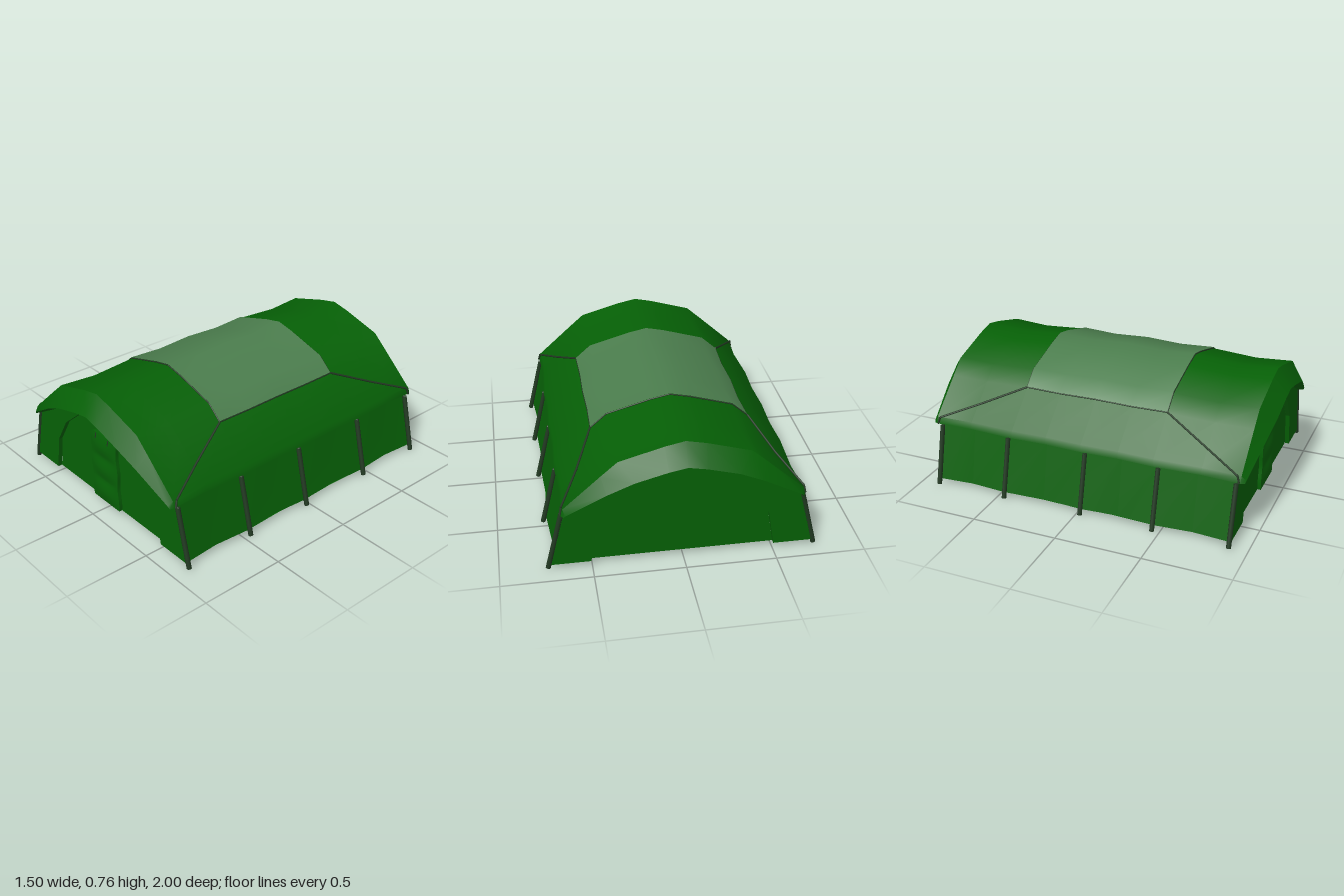
import * as THREE from 'three';
import { toCreasedNormals } from 'three/addons/utils/BufferGeometryUtils.js';

const DS = THREE.DoubleSide;
const canvas = new THREE.MeshStandardMaterial({ color: 0x066006, side: DS });
const skylightMat = new THREE.MeshStandardMaterial({ color: 0x4b7d4d, side: DS });
const poleMat = new THREE.MeshStandardMaterial({ color: 0x213821 });

const WALL_Z = 0.902, BASE_Y = 0.031;

// Skin a list of rows, each a list of [x, y, z] points
function skin(rows) {
  const n = rows[0].length, index = [];
  for (let r = 0; r < rows.length - 1; r++)
    for (let c = 0; c < n - 1; c++) {
      const a = r * n + c;
      index.push(a, a + 1, a + n, a + 1, a + n + 1, a + n);
    }
  const geo = new THREE.BufferGeometry();
  geo.setAttribute('position', new THREE.Float32BufferAttribute(rows.flat(2), 3));
  geo.setIndex(index);
  return toCreasedNormals(geo, 0.7);
}

// Complete a +x half profile (ending on x = 0) over to -x
const mirrorX = (half) => [
  ...half,
  ...half.slice(0, -1).reverse().map(([x, ...rest]) => [-x, ...rest]),
];

export function createModel() {
  const model = new THREE.Group();
  const add = (name, geo, mat = canvas) => {
    const mesh = new THREE.Mesh(geo, mat);
    mesh.name = name;
    model.add(mesh);
    return mesh;
  };

  // Straight round bars joining a list of points
  const bars = (name, points, radius) => {
    for (let i = 0; i < points.length - 1; i++) {
      const p = new THREE.Vector3(...points[i]), q = new THREE.Vector3(...points[i + 1]);
      const dir = q.clone().sub(p);
      const mesh = add(name, new THREE.CylinderGeometry(radius, radius, dir.length(), 8), poleMat);
      mesh.position.copy(p).add(q).multiplyScalar(0.5);
      mesh.quaternion.setFromUnitVectors(new THREE.Vector3(0, 1, 0), dir.normalize());
    }
  };

  // Profiles sag a little between the hoops
  const profile = [[0.66, 0.358], [0.65, 0.398], [0.445, 0.583], [0.355, 0.662], [0.11, 0.732], [0, 0.755]];
  const hoops = [[-0.92, 0.004], [-0.7, 0.02], [-0.43, 0], [-0.22, 0.012], [0, 0],
    [0.22, 0.012], [0.43, 0], [0.7, 0.02], [0.92, 0.004]];
  const section = ([z, sag], points, lift = 0) => mirrorX(points.map(
    ([x, y]) => [x * (1 - sag), y - sag * Math.max(0, y - 0.36) * 2.5 + lift, z]));

  // Hood lip at each end, then its underside back to the gable
  const lip = mirrorX([[0.645, 0.355, 0.94], [0.635, 0.37, 0.945], [0.42, 0.5, 0.98],
    [0.275, 0.573, 1], [0.1, 0.62, 1], [0, 0.639, 1]]);
  const hoodFoot = mirrorX([[0.64, 0.348], [0.62, 0.36], [0.42, 0.475],
    [0.29, 0.545], [0.1, 0.59], [0, 0.607]]);
  const end = (s) => [
    lip.map(([x, y, z]) => [x, y, s * z]),
    hoodFoot.map(([x, y]) => [x, y, s * (WALL_Z - 0.005)]),
  ];
  add('roof', skin([...end(-1).reverse(), ...hoops.map((h) => section(h, profile)), ...end(1)]));

  // Inner lining, turned out to the wall at its hem
  const liningProfile = [[0.716, BASE_Y], [0.702, BASE_Y], [0.625, 0.36], [0.432, 0.568],
    [0.346, 0.645], [0.108, 0.715], [0, 0.738]];
  add('lining', skin(hoops.map(([z, sag]) => section([z * 0.955, sag], liningProfile))));

  // Skylight over the middle bays, with thin trim under its edges
  const middle = hoops.slice(2, 7), top = profile.slice(2);
  add('skylight', skin(middle.map((h) => section(h, top, 0.008))), skylightMat);
  const trimRows = middle.map((h) => section(h, top, 0.003));
  bars('skylightTrim', trimRows[0], 0.004);
  bars('skylightTrim', trimRows[4], 0.004);

  const postZ = [-0.886, -0.455, 0.025, 0.458, 0.895];
  const wallZ = [-WALL_Z, ...postZ.slice(1, 4), WALL_Z];
  for (const s of [1, -1]) {
    bars('skylightTrim', trimRows.map((row) => row[s > 0 ? 0 : row.length - 1]), 0.004);

    // Side wall, drawn in between the posts
    const stations = [];
    wallZ.forEach((z, i) => {
      stations.push([z, 0]);
      if (i < 4) stations.push([(z + wallZ[i + 1]) / 2, 0.016]);
    });
    add('sideWall', skin(stations.map(([z, sag]) => {
      const row = [[s * (0.719 - sag), BASE_Y, z], [s * (0.642 - sag * 0.5), 0.365, z]];
      return s > 0 ? row : row.reverse();
    })));

    // Leaning posts with a short hook under the eave
    for (const z of postZ) {
      bars('post', [[s * 0.738, 0.004, z], [s * 0.653, 0.35, z]], 0.014);
      bars('postHook', [[s * 0.64, 0.352, z], [s * 0.664, 0.346, z]], 0.009);
    }

    // Diagonal poles lying on the roof, from corner to skylight
    for (const e of [1, -1])
      bars('diagonalPole', [[s * 0.661, 0.36, e * 0.912], [s * 0.653, 0.399, e * 0.9],
        [s * 0.549, 0.482, e * 0.68], [s * 0.447, 0.587, e * 0.432]], 0.006);
  }

  // Gable walls with a recessed arched panel
  const arch = mirrorX([[0.505, BASE_Y], [0.47, 0.24], [0.37, 0.4], [0.21, 0.53], [0.1, 0.555], [0, 0.565]]);
  const toVec = (pts) => pts.map(([x, y]) => new THREE.Vector2(x, y));
  const gableShape = new THREE.Shape(toVec([
    [0.719, BASE_Y], ...hoodFoot, [-0.719, BASE_Y], ...arch.slice().reverse(),
  ]));
  for (const s of [1, -1]) {
    const gable = new THREE.ExtrudeGeometry(gableShape, { depth: 0.025, bevelEnabled: false });
    gable.translate(0, 0, s > 0 ? WALL_Z - 0.025 : -WALL_Z);
    add(s > 0 ? 'frontGable' : 'backGable', gable);
    const panel = new THREE.ShapeGeometry(new THREE.Shape(toVec(arch)));
    if (s < 0) panel.rotateY(Math.PI);
    panel.translate(0, 0, s * (WALL_Z - 0.0255));
    add(s > 0 ? 'frontPanel' : 'backPanel', panel);
  }

  // Billowing door flap, rounded at the top corners
  const W = 0.24, H = 0.445;
  const door = new THREE.BoxGeometry(W, H, 0.03, 12, 28, 1);
  const pos = door.attributes.position;
  for (let i = 0; i < pos.count; i++) {
    const x = pos.getX(i), y = pos.getY(i), z = pos.getZ(i);
    const t = y / H + 0.5, u = x / (W / 2);
    const puff = Math.abs(Math.sin(t * Math.PI * 3)) * (1 - u * u);
    const corner = Math.max(0, t - 0.93) / 0.07;
    pos.setXYZ(i, x * (1 - 0.12 * corner * corner) + 0.004 * Math.sin(t * 14) * u,
      y - 0.012 * corner * u ** 4, z * (1 + 0.9 * puff));
  }
  add('doorFlap', toCreasedNormals(door, 0.6)).position.set(-0.005, BASE_Y + H / 2, WALL_Z - 0.02);

  // Door straps
  for (const x of [-0.065, 0.05])
    bars('doorStrap', [[x, 0.44, WALL_Z + 0.004], [x, 0.47, WALL_Z - 0.002]], 0.003);

  return model;
}
